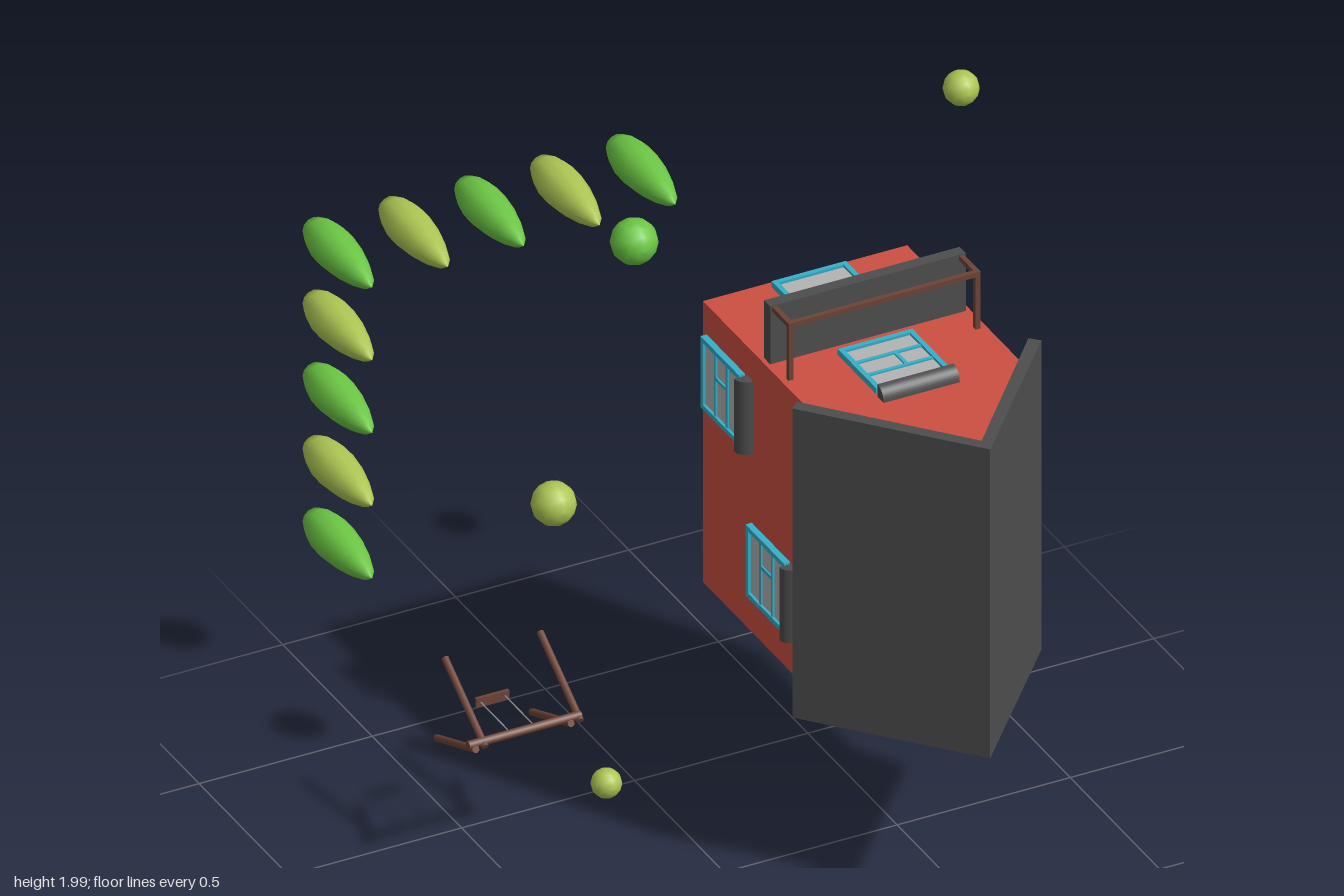
import * as THREE from 'three';

const paint = (color, side = THREE.FrontSide) => new THREE.MeshStandardMaterial({ color, side });
const red = paint(0xcc4f42, THREE.DoubleSide);
const slate = paint(0x4d4d4d);
const blue = paint(0x35afc8);
const glass = paint(0xb4b4b4);
const wood = paint(0x6e4436);
const rope = paint(0x999999);
const green = paint(0x6cc644);
const lime = paint(0xadc653);

function add(parent, name, geometry, material, x = 0, y = 0, z = 0) {
  const mesh = new THREE.Mesh(geometry, material);
  mesh.name = name;
  mesh.position.set(x, y, z);
  parent.add(mesh);
  return mesh;
}

const box = (parent, name, material, w, h, d, x, y, z) =>
  add(parent, name, new THREE.BoxGeometry(w, h, d), material, x, y, z);

// Round bar between two points
function bar(parent, name, material, a, b, r) {
  const from = new THREE.Vector3(...a), to = new THREE.Vector3(...b);
  const dir = to.clone().sub(from);
  const mesh = add(parent, name, new THREE.CylinderGeometry(r, r, dir.length(), 8), material);
  mesh.position.copy(from).lerp(to, 0.5);
  mesh.quaternion.setFromUnitVectors(new THREE.Vector3(0, 1, 0), dir.normalize());
}

const polygon = (pts) => new THREE.Shape(pts.map(([x, y]) => new THREE.Vector2(x, y)));

// Rectangular frame with an opening, its back on z = 0
function frameGeometry(w, h, t, depth) {
  const rect = (a, b) => [[-a, -b], [a, -b], [a, b], [-a, b]];
  const shape = polygon(rect(w / 2, h / 2));
  shape.holes.push(polygon(rect(w / 2 - t, h / 2 - t).reverse()));
  return new THREE.ExtrudeGeometry(shape, { depth, bevelEnabled: false });
}

// Framed window with glazing bars and a quarter-round hood
function addWindow(parent, x, y, z, turn) {
  const g = new THREE.Group();
  g.name = 'window';
  g.position.set(x, y, z);
  g.rotation.y = turn;
  parent.add(g);
  add(g, 'windowFrame', frameGeometry(0.215, 0.215, 0.014, 0.018), blue);
  box(g, 'windowPane', glass, 0.19, 0.19, 0.008, 0, 0, 0.006);
  for (const by of [-0.033, 0.033]) box(g, 'glazingBar', blue, 0.19, 0.01, 0.014, 0, by, 0.008);
  box(g, 'shortGlazingBar', blue, 0.01, 0.066, 0.014, -0.02, 0, 0.008);
  const profile = new THREE.Shape();
  profile.moveTo(0, 0);
  profile.lineTo(0.038, 0);
  profile.absellipse(0, 0, 0.038, 0.034, 0, Math.PI / 2, false);
  const hood = new THREE.ExtrudeGeometry(profile, { depth: 0.22, bevelEnabled: false, curveSegments: 6 });
  hood.rotateY(-Math.PI / 2).translate(0.11, 0.12, 0);
  add(g, 'windowHood', hood, slate);
}

const CX = 0.495, HALF = 0.295, BASE = -0.505, EAVE = 0.14, FRONT = 0.45, BACK = -0.4;

function makeHouse() {
  const house = new THREE.Group();
  house.name = 'house';

  // Hollow walls, open underneath
  const gable = new THREE.ShapeGeometry(polygon([
    [-HALF, BASE], [HALF, BASE], [HALF, EAVE], [0, 0.48], [-HALF, EAVE]]));
  add(house, 'frontWall', gable, red, CX, 0, FRONT);
  add(house, 'backWall', gable.clone().rotateY(Math.PI), red, CX, 0, BACK);
  for (const s of [-1, 1]) {
    const wall = new THREE.PlaneGeometry(FRONT - BACK, EAVE - BASE).rotateY(s * Math.PI / 2);
    add(house, 'sideWall', wall, red, CX + s * HALF, (EAVE + BASE) / 2, (FRONT + BACK) / 2);
  }

  // Pitched roof
  const roof = polygon([[-0.36, 0.12], [-0.335, 0.095], [0, 0.482], [0.335, 0.095], [0.36, 0.12], [0, 0.53]]);
  add(house, 'roof', new THREE.ExtrudeGeometry(roof, { depth: 0.935, bevelEnabled: false }), slate, CX, 0, -0.44);

  // Windows on all four sides
  addWindow(house, CX, -0.377, BACK, Math.PI);
  addWindow(house, CX, -0.007, BACK, Math.PI);
  addWindow(house, CX, -0.007, FRONT, 0);
  addWindow(house, CX + HALF, -0.085, -0.203, Math.PI / 2);
  addWindow(house, CX + HALF, -0.377, 0.227, Math.PI / 2);
  addWindow(house, CX - HALF, -0.377, -0.203, -Math.PI / 2);
  addWindow(house, CX - HALF, -0.125, 0.227, -Math.PI / 2);

  // Front door
  add(house, 'doorFrame', frameGeometry(0.2, 0.33, 0.014, 0.02), slate, 0.595, -0.34, FRONT);
  box(house, 'door', blue, 0.18, 0.31, 0.012, 0.595, -0.34, FRONT + 0.006);

  // Balcony with railing
  box(house, 'balconyFloor', slate, 0.565, 0.034, 0.175, CX, -0.17, -0.4875);
  for (const s of [-1, 1]) {
    box(house, 'railPost', wood, 0.014, 0.09, 0.014, CX + s * 0.27, -0.11, -0.565);
    box(house, 'sideRail', wood, 0.014, 0.014, 0.17, CX + s * 0.27, -0.067, -0.485);
  }
  box(house, 'backRail', wood, 0.554, 0.014, 0.014, CX, -0.067, -0.565);
  return house;
}

function makeSwing() {
  const swing = new THREE.Group();
  swing.name = 'swing';
  bar(swing, 'crossbar', wood, [-0.595, -0.28, 0.592], [-0.27, -0.28, 0.592], 0.012);
  for (const x of [-0.58, -0.305]) {
    bar(swing, 'leg', wood, [x, -0.265, 0.6], [x + 0.013, -0.51, 0.705], 0.01);
    bar(swing, 'leg', wood, [x + 0.027, -0.265, 0.6], [x + 0.037, -0.51, 0.47], 0.01);
  }
  for (const x of [-0.47, -0.4]) bar(swing, 'rope', rope, [x, -0.28, 0.592], [x, -0.455, 0.592], 0.002);
  box(swing, 'swingSeat', wood, 0.095, 0.01, 0.026, -0.435, -0.455, 0.592);
  return swing;
}

function makePlants() {
  const plants = new THREE.Group();
  plants.name = 'plants';

  // Slender trees along two edges of the garden
  const treeProfile = [[0, 0], [0.032, 0], [0.046, 0.035], [0.055, 0.08], [0.056, 0.13], [0.05, 0.19],
    [0.037, 0.25], [0.02, 0.3], [0, 0.328]].map(([r, y]) => new THREE.Vector2(r, y));
  const tree = new THREE.LatheGeometry(treeProfile, 12);
  for (let i = 0; i < 5; i++) {
    const leaf = i % 2 ? lime : green;
    add(plants, 'tree', tree, leaf, -0.925 + i * 0.219, BASE, -0.945);
    if (i) add(plants, 'tree', tree, leaf, -0.925, BASE, -0.945 + i * 0.22);
  }

  // Round bushes with a flat underside: x, height of centre, depth, radius
  const ball = [new THREE.Vector2(0, -0.9)];
  for (let i = 0; i <= 8; i++) {
    const a = -1.12 + (i / 8) * (1.12 + Math.PI / 2);
    ball.push(new THREE.Vector2(Math.max(0, Math.cos(a)), Math.sin(a)));
  }
  const bush = new THREE.LatheGeometry(ball, 12);
  [[0.925, -0.465, -0.86, 0.048, lime], [-0.03, -0.445, -0.68, 0.063, green],
    [-0.26, -0.45, 0.05, 0.06, lime], [0.545, -0.465, 0.8, 0.074, green],
    [-0.1, -0.465, 0.95, 0.041, lime]].forEach(([x, y, z, r, leaf]) =>
    add(plants, 'bush', bush, leaf, x, y, z).scale.setScalar(r));
  return plants;
}

export function createModel() {
  const model = new THREE.Group();
  model.name = 'houseAndGarden';
  // The upright scene is tipped so that its sky side faces +z
  const scene = new THREE.Group();
  scene.name = 'garden';
  scene.add(makeHouse(), makeSwing(), makePlants());
  scene.rotation.x = Math.PI / 2;
  scene.position.y = 1;
  model.add(scene);
  return model;
}
